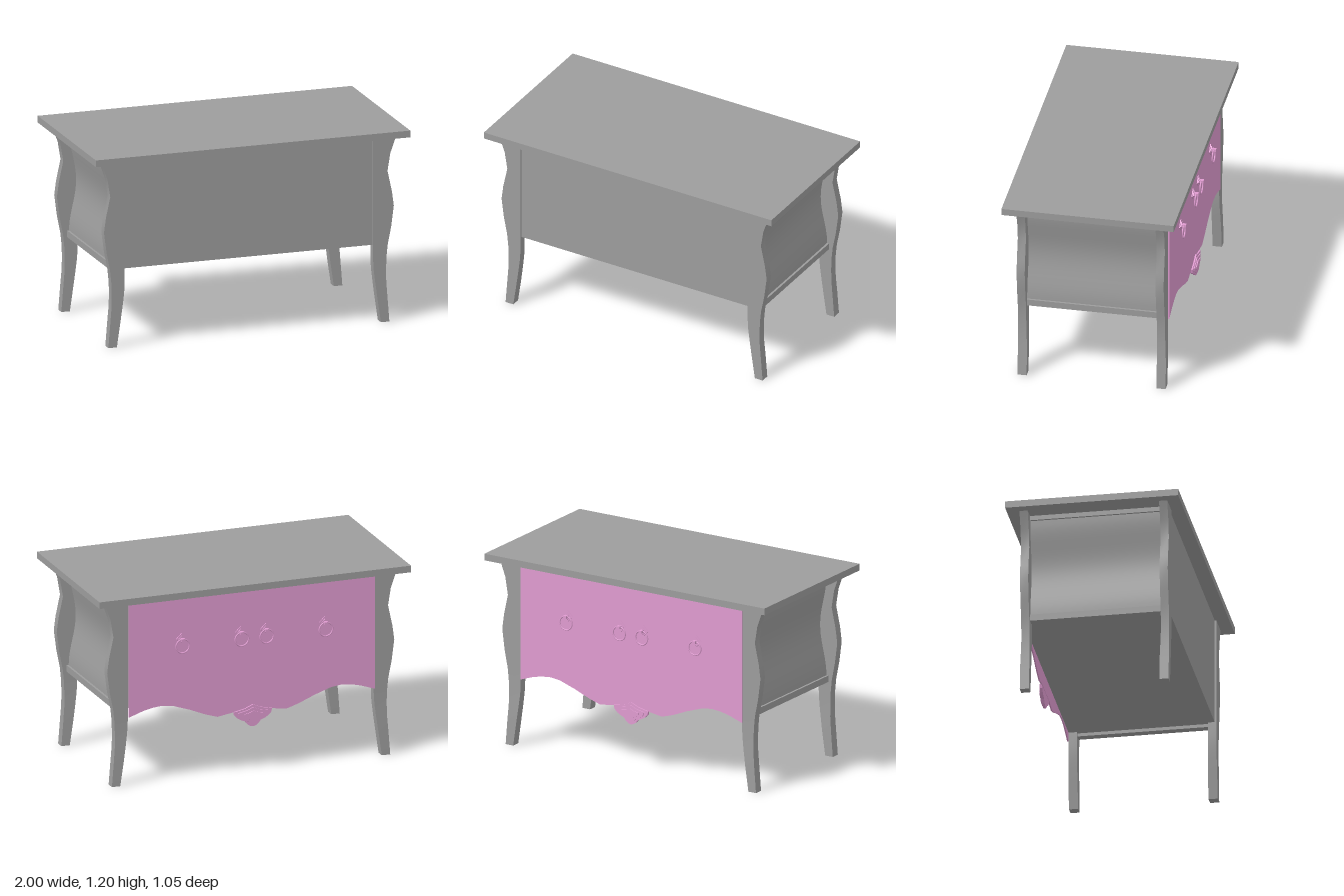
import * as THREE from 'three';
import { toCreasedNormals } from 'three/addons/utils/BufferGeometryUtils.js';

const grey = new THREE.MeshStandardMaterial({ color: 0x9d9d9d });
const pink = new THREE.MeshStandardMaterial({ color: 0xdf9bd0 });

function add(parent, name, geometry, material, x = 0, y = 0, z = 0) {
  const mesh = new THREE.Mesh(geometry, material);
  mesh.name = name;
  mesh.position.set(x, y, z);
  parent.add(mesh);
  return mesh;
}

const toShape = (pts) => new THREE.Shape(pts.map(([x, y]) => new THREE.Vector2(x, y)));
const extrude = (shape, depth) =>
  new THREE.ExtrudeGeometry(shape, { depth, bevelEnabled: false });

// Cabriole leg: levels of [y, inner x, outer x] from foot to top
const legLevels = [
  [0, 0.84, 0.894], [0.15, 0.818, 0.882], [0.25, 0.804, 0.874], [0.33, 0.794, 0.873],
  [0.4, 0.79, 0.875], [0.48, 0.79, 0.883], [0.59, 0.79, 0.905], [0.72, 0.79, 0.922],
  [0.81, 0.79, 0.91], [0.94, 0.79, 0.882], [1.05, 0.79, 0.9], [1.16, 0.79, 0.94],
];

function legGeometry(side) {
  const n = legLevels.length - 1;
  const geo = new THREE.BoxGeometry(1, 1, 1, 1, n, 1);
  const p = geo.attributes.position;
  for (let i = 0; i < p.count; i++) {
    const [y, inner, outer] = legLevels[Math.round((p.getY(i) + 0.5) * n)];
    const x = p.getX(i) * side > 0 ? outer : inner;
    // the rear face swells slightly towards the foot
    const swell = 0.006 * (1 - THREE.MathUtils.smoothstep(y, 0.15, 0.35));
    p.setXYZ(i, x * side, y, p.getZ(i) > 0 ? 0.025 : -0.025 - swell);
  }
  return toCreasedNormals(geo, 0.6);
}

// Concave side panel with a rail above and below
function sidePanelGeometry(side) {
  const pts = [[0.79, 1.16], [0.858, 1.16], [0.858, 1.13]];
  for (let i = 0; i <= 20; i++) {
    const t = i / 20;
    const dip = (1 - Math.cos(t * Math.PI * 2)) / 2;
    pts.push([0.845 - 0.045 * dip, 1.13 - 0.625 * t]);
  }
  pts.push([0.858, 0.505], [0.858, 0.465], [0.81, 0.465], [0.81, 0.485], [0.79, 0.485]);
  const geo = extrude(toShape(pts.map(([x, y]) => [x * side, y])), 0.8);
  return toCreasedNormals(geo, 0.4);
}

// Drawer face with a scalloped lower edge
function apronGeometry() {
  const half = [
    [0.79, 0.426], [0.7, 0.457], [0.64, 0.471], [0.575, 0.477], [0.51, 0.469], [0.4, 0.432],
    [0.3, 0.391], [0.22, 0.366], [0.17, 0.374], [0.12, 0.382],
  ];
  const mirrored = half.map(([x, y]) => [-x, y]).reverse();
  return extrude(toShape([[0.79, 1.14], ...half, ...mirrored, [-0.79, 1.14]]), 0.008);
}

// Carved shell hanging from the apron, scaled about its centre for each layer
function crestShape(scale) {
  const half = [
    [0.05, 0.05], [0.123, 0.035], [0.117, 0.012], [0.1, -0.005], [0.08, -0.018],
    [0.05, -0.03], [0.035, -0.05], [0.016, -0.062],
  ];
  const all = [[0, 0.072], ...half, [0, -0.066], ...half.map(([x, y]) => [-x, y]).reverse()];
  return toShape(all.map(([x, y]) => [x * scale, y * scale]));
}

// Drop-ring pull: stepped diamond rose, post and ring
function pull(x) {
  const g = new THREE.Group();
  g.name = 'drawerPull';
  g.position.set(x, 0.886, 0);
  for (const [r, z] of [[0.037, -0.461], [0.024, -0.467]]) {
    const diamond = new THREE.CylinderGeometry(r, r, 0.006, 4).rotateX(-Math.PI / 2);
    add(g, 'rose', toCreasedNormals(diamond, 0.5), pink, 0, 0, z);
  }
  add(g, 'post', new THREE.BoxGeometry(0.022, 0.016, 0.033), pink, 0, 0, -0.4785);
  add(g, 'ring', new THREE.TorusGeometry(0.043, 0.0045, 8, 28), pink, 0, -0.04, -0.48);
  return g;
}

export function createModel() {
  const model = new THREE.Group();
  model.name = 'chest';

  add(model, 'top', new THREE.BoxGeometry(2, 0.042, 1.054), grey, 0, 1.179, 0);
  // Carcass, set back a little from the legs on the plain side
  add(model, 'body', new THREE.BoxGeometry(1.58, 0.675, 0.89), grey, 0, 0.8225, -0.005);

  for (const side of [1, -1]) {
    for (const z of [0.425, -0.425]) add(model, 'leg', legGeometry(side), grey, 0, 0, z);
    add(model, 'sidePanel', sidePanelGeometry(side), grey, 0, 0, -0.4);
  }

  add(model, 'apron', apronGeometry(), pink, -0.004, 0, -0.458);

  // Stepped layers of the carved crest
  const crest = new THREE.Group();
  crest.name = 'crest';
  crest.position.set(-0.008, 0.349, 0);
  [[1, -0.467, 0.015], [0.78, -0.473, 0.008], [0.5, -0.479, 0.008]].forEach(([s, z, d]) =>
    add(crest, 'crestLayer', extrude(crestShape(s), d), pink, 0, 0, z));
  model.add(crest);

  for (const x of [-0.472, -0.092, 0.068, 0.448]) model.add(pull(x));
  return model;
}
